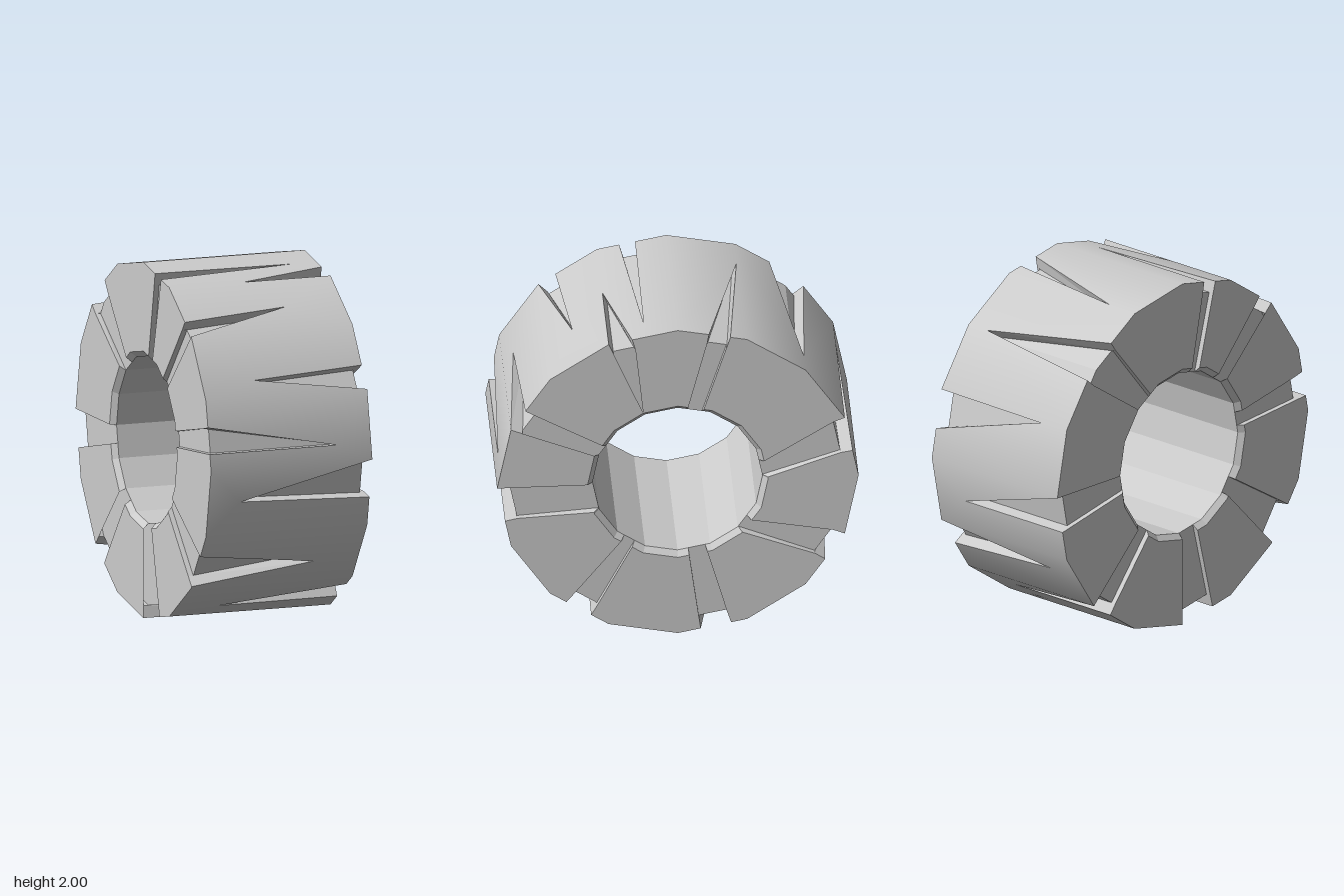
import * as THREE from 'three';
import { mergeGeometries } from 'three/addons/utils/BufferGeometryUtils.js';

const SIDES = 16, HALF = 0.48, INSET = 0.45;          // facets, half width, groove floor
const FLOOR = 0.93, RIM = 0.5, BORE = 0.47;           // tread floor, chamfer and hole radii

// Grooves: facet, outer start/end, inner start/end, tip position along facet, tip x
const leftGrooves = [
  [0, 0.66, 1, 1, 1, 1, -0.04],
  [2, 0.63, 1, 0.6, 1, 0.74, -0.17],
  [4, 0, 0.57, 0, 0.95, 0.5, -0.29],
  [6, 0.28, 0.7, 0.25, 0.62, 0.73, -0.23],
  [8, 0.33, 0.77, 0.33, 0.85, 0.7, -0.2],
  [10, 0.5, 1, 0.03, 0.5, 0.65, -0.28],
  [12, 0.43, 1, 0.05, 0.6, 0.98, -0.28],
  [15, 0.24, 0.55, 0.25, 0.7, 0.02, -0.28],
];
const rightGrooves = [
  [0, 0.45, 0.68, 0.4, 0.7, 0.47, 0.34],
  [1, 0.71, 1, 0.6, 1, 0.55, 0.14],
  [3, 0.38, 0.76, 0.3, 0.76, 0.76, 0.28],
  [5, 0.39, 0.97, 0.39, 0.9, 0.64, 0.22],
  [7, 0.38, 1, 0.38, 1, 0.38, 0.28],
  [9, 0.6, 1, 0.5, 1, 0.6, 0.25],
  [11, 0.45, 1, 0.45, 1, 0.45, 0.26],
  [13, 0.76, 1, 1, 1, 1, 0.34],
  [14, 0, 0.42, 0, 0.6, 0, 0.34],
];

// Point on facet i: u runs 0..1 along the facet, r is the corner radius
function onFacet(i, u, r, x) {
  const a = (i / SIDES) * Math.PI * 2, b = ((i + 1) / SIDES) * Math.PI * 2;
  return new THREE.Vector3(
    x,
    1 + r * THREE.MathUtils.lerp(Math.cos(a), Math.cos(b), u),
    r * THREE.MathUtils.lerp(Math.sin(a), Math.sin(b), u)
  );
}

// Sweep a closed [x, r] section along part of a facet
function sweep(i, section, start, end, caps) {
  const ring = (uAt) => section.map(([x, r]) => onFacet(i, uAt(r), r, x));
  const p = ring(start), q = ring(end), n = section.length, tris = [];
  for (let k = 0; k < n; k++) {
    const m = (k + 1) % n;
    tris.push(p[k], p[m], q[m], p[k], q[m], q[k]);
    if (caps && k > 0 && k < n - 1) tris.push(q[0], q[k], q[m], p[0], p[m], p[k]);
  }
  const g = new THREE.BufferGeometry().setFromPoints(tris);
  g.computeVertexNormals();
  return g;
}

// Points of a tread notch cut into the edge at x = side * HALF, in order of u
function notchedEdge(groove, side) {
  const w = side * HALF;
  if (!groove) return [[0, w], [1, w]];
  const [, u0, u1, , , tipU, tipX] = groove;
  const pts = [];
  if (!(u0 === 0 && tipU === 0)) {
    if (u0 > 0) pts.push([0, w]);
    pts.push([u0, w]);
  }
  pts.push([tipU, tipX]);
  if (!(u1 === 1 && tipU === 1)) {
    pts.push([u1, w]);
    if (u1 < 1) pts.push([1, w]);
  }
  return pts;
}

// One facet of tread with its notches, bent onto the wheel with a smooth outer face
function treadFacet(i, left, right) {
  const outline = [...notchedEdge(right, -1), ...notchedEdge(left, 1).reverse()];
  const shape = new THREE.Shape(outline.map(([u, x]) => new THREE.Vector2(u, x)));
  let g = new THREE.ExtrudeGeometry(shape, { depth: 1, bevelEnabled: false });
  if (g.index) g = g.toNonIndexed();
  const pos = g.attributes.position;
  const top = [];
  for (let k = 0; k < pos.count; k++) {
    const z = pos.getZ(k);
    top.push(z > 0.5);
    const v = onFacet(i, pos.getX(k), FLOOR + (1 - FLOOR) * z, pos.getY(k));
    pos.setXYZ(k, v.x, v.y, v.z);
  }
  g.computeVertexNormals();
  for (let k = 0; k < pos.count; k += 3) {
    if (!(top[k] && top[k + 1] && top[k + 2])) continue;
    for (let j = k; j < k + 3; j++) {
      const n = new THREE.Vector3(0, pos.getY(j) - 1, pos.getZ(j)).normalize();
      g.attributes.normal.setXYZ(j, n.x, n.y, n.z);
    }
  }
  g.deleteAttribute('uv');
  return g;
}

// Raised side wall on one facet, split by its groove
function sidePlates(i, groove, side) {
  let section = [[INSET, BORE], [HALF, RIM], [HALF, FLOOR], [INSET, FLOOR]];
  if (side < 0) section = section.map(([x, r]) => [-x, r]).reverse();
  const edge = (inner, outer) => (r) =>
    THREE.MathUtils.lerp(inner, outer, THREE.MathUtils.clamp((r - RIM) / (FLOOR - RIM), 0, 1));
  if (!groove) return [sweep(i, section, edge(0, 0), edge(1, 1), false)];
  const [, o0, o1, i0, i1] = groove, out = [];
  if (o0 > 0 || i0 > 0) out.push(sweep(i, section, edge(0, 0), edge(i0, o0), true));
  if (o1 < 1 || i1 < 1) out.push(sweep(i, section, edge(i1, o1), edge(1, 1), true));
  return out;
}

export function createModel() {
  const group = new THREE.Group();
  group.name = 'tire';
  const material = new THREE.MeshStandardMaterial({ color: 0xcccccc });
  const core = [], tread = [], leftWall = [], rightWall = [];
  const coreSection = [[-INSET, BORE], [INSET, BORE], [INSET, FLOOR], [-INSET, FLOOR]];

  for (let i = 0; i < SIDES; i++) {
    const left = leftGrooves.find((g) => g[0] === i);
    const right = rightGrooves.find((g) => g[0] === i);
    core.push(sweep(i, coreSection, () => 0, () => 1, false));
    tread.push(treadFacet(i, left, right));
    leftWall.push(...sidePlates(i, left, 1));
    rightWall.push(...sidePlates(i, right, -1));
  }

  const parts = { core, tread, leftSideWall: leftWall, rightSideWall: rightWall };
  for (const [name, list] of Object.entries(parts)) {
    const mesh = new THREE.Mesh(mergeGeometries(list), material);
    mesh.name = name;
    group.add(mesh);
  }
  return group;
}
